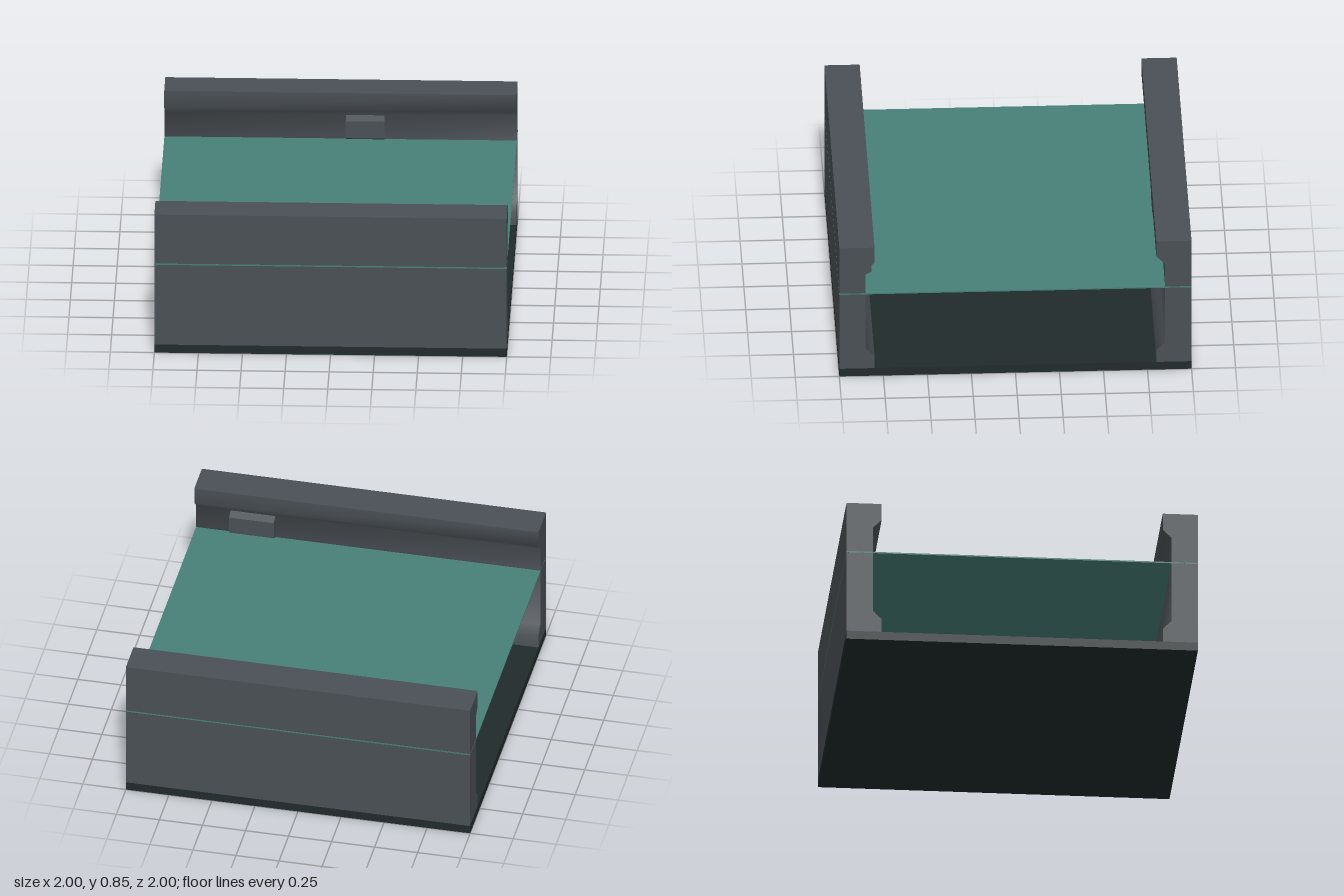
import * as THREE from 'three';
import { toCreasedNormals } from 'three/addons/utils/BufferGeometryUtils.js';

const wallGrey = new THREE.MeshStandardMaterial({ name: 'wallGrey', color: 0x4a5055 });
const floorTeal = new THREE.MeshStandardMaterial({ name: 'floorTeal', color: 0x468077 });
const baseDark = new THREE.MeshStandardMaterial({ name: 'baseDark', color: 0x202a2b });

// Extrudes a (z, y) profile along x, from x0 to x1
function extrudeAlongX(profile, x0, x1) {
  const shape = new THREE.Shape(profile.map(([z, y]) => new THREE.Vector2(-z, y)));
  const geo = new THREE.ExtrudeGeometry(shape, { depth: x1 - x0, bevelEnabled: false });
  geo.rotateY(Math.PI / 2);
  geo.translate(x0, 0, 0);
  return geo;
}

function addMesh(parent, name, geo, material) {
  const mesh = new THREE.Mesh(geo, material);
  mesh.name = name;
  parent.add(mesh);
  return mesh;
}

// Wall with a shallow recess on its inner face, plus raised blocks in three rows
function makeWall(name, blockSpans) {
  const wall = new THREE.Group();
  wall.name = name;
  const profile = [
    [1, 0.05], [0.8, 0.05], [0.8, 0.13], [0.85, 0.18],
    [0.85, 0.7], [0.8, 0.75], [0.8, 0.85], [1, 0.85],
  ];
  addMesh(wall, 'wallPanel', toCreasedNormals(extrudeAlongX(profile, -1, 1), 0.9), wallGrey);
  const rows = [0.2, 0.39, 0.62];
  rows.forEach((y, i) => {
    const block = [
      [0.86, y - 0.08], [0.81, y - 0.052], [0.81, y + 0.052], [0.86, y + 0.08],
    ];
    addMesh(wall, 'wallBlock', extrudeAlongX(block, ...blockSpans[i]), wallGrey);
  });
  return wall;
}

export function createModel() {
  const model = new THREE.Group();
  model.name = 'corridorSection';

  // Base slab
  addMesh(model, 'base', new THREE.BoxGeometry(2, 0.05, 2).translate(0, 0.025, 0), baseDark);

  // Thin raised floor whose edge shows as a line on the outer walls
  addMesh(model, 'floor', new THREE.BoxGeometry(2.001, 0.008, 2.001).translate(0, 0.545, 0), floorTeal);

  // Side walls; the back one is turned half round, so its spans run the other way
  model.add(makeWall('frontWall', [[-0.53, -0.28], [0.1, 0.35], [0.54, 0.8]]));
  const backWall = makeWall('backWall', [[0.3, 0.55], [-0.1, 0.15], [-0.25, -0.03]]);
  backWall.rotation.y = Math.PI;
  model.add(backWall);

  return model;
}
